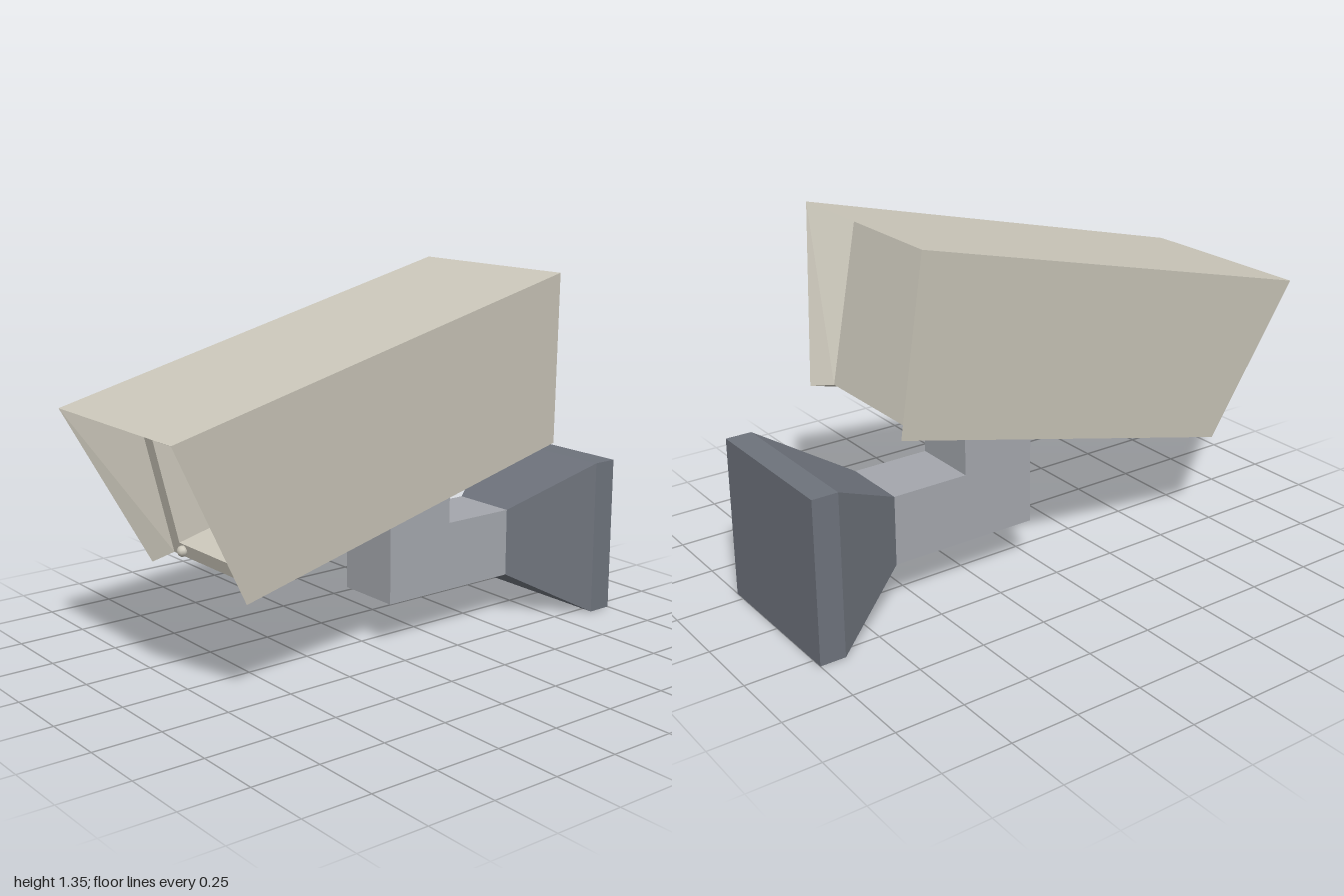
import * as THREE from 'three';

const mat = (name, color, side = THREE.FrontSide) => {
  const m = new THREE.MeshStandardMaterial({ color, side });
  m.name = name;
  return m;
};

// Skin closed cross-sections (counter-clockwise from +z, ordered back to front) with flat faces
function loft(sections, capBack, capFront) {
  const pos = [];
  const tri = (a, b, c) => pos.push(...a, ...b, ...c);
  for (let s = 0; s < sections.length - 1; s++) {
    const a = sections[s], b = sections[s + 1], n = a.length;
    for (let i = 0; i < n; i++) {
      const j = (i + 1) % n;
      tri(a[i], a[j], b[j]);
      tri(a[i], b[j], b[i]);
    }
  }
  const first = sections[0], last = sections[sections.length - 1];
  for (let i = 1; i < first.length - 1; i++) {
    if (capBack) tri(first[0], first[i + 1], first[i]);
    if (capFront) tri(last[0], last[i], last[i + 1]);
  }
  const g = new THREE.BufferGeometry();
  g.setAttribute('position', new THREE.Float32BufferAttribute(pos, 3));
  g.computeVertexNormals();
  return g;
}

const rect = (w, y0, y1, z) => [[w, y0, z], [w, y1, z], [-w, y1, z], [-w, y0, z]];

// Hood section: inner bottom, outer bottom and top corners, mirrored in x
function hoodSection(inner, bottom, top) {
  const right = [inner, bottom, top];
  return [...right, ...right.slice().reverse().map(([x, y, z]) => [-x, y, z])];
}

export function createModel() {
  const shell = mat('warm grey shell', 0xcbc7ba, THREE.DoubleSide);
  const armGrey = mat('light grey arm', 0xa3a6ac);
  const slate = mat('slate mount', 0x6d727b);
  const dark = mat('dark housing', 0x4a4f57);
  const glass = mat('black glass', 0x383d40);

  const model = new THREE.Group();
  const add = (parent, name, geometry, material, x = 0, y = 0, z = 0) => {
    const m = new THREE.Mesh(geometry, material);
    m.name = name;
    m.position.set(x, y, z);
    parent.add(m);
    return m;
  };

  // Wall mount: square plate tapering to the arm
  add(model, 'wallMount', loft([
    rect(0.295, 0, 0.595, -1),
    rect(0.295, 0, 0.595, -0.905),
    rect(0.128, 0.17, 0.427, -0.6),
  ], true, true), slate);

  // L-shaped arm, drawn in side profile (-z, y) and extruded across x
  const profile = new THREE.Shape([
    [0.03, 0.17], [0.6, 0.17], [0.6, 0.427], [0.31, 0.427], [0.31, 0.635], [0.03, 0.565],
  ].map(([x, y]) => new THREE.Vector2(x, y)));
  const arm = new THREE.ExtrudeGeometry(profile, { depth: 0.256, bevelEnabled: false });
  arm.translate(0, 0, -0.128).rotateY(Math.PI / 2);
  add(model, 'arm', arm, armGrey);

  // Camera head, tilted down; local z runs along its axis
  const head = new THREE.Group();
  head.name = 'cameraHead';
  head.position.y = 1.193;
  head.rotation.x = 0.2428;
  model.add(head);

  // Hood: recessed back, outer skin, then rim sloping in to the face frame
  const backInner = [0.245, -0.61, -0.47], frontInner = [0.245, -0.61, 0.81];
  add(head, 'hood', loft([
    hoodSection(backInner, backInner, [0.3, -0.03, -0.47]),
    hoodSection(backInner, [0.295, -0.631, -0.533], [0.358, 0, -0.633]),
    hoodSection(frontInner, [0.295, -0.631, 0.877], [0.358, 0, 1.03]),
    hoodSection(frontInner, frontInner, [0.245, -0.12, 0.81]),
  ], true, false), shell);

  // Face frame with a deep window
  const corners = (w, y0, y1) => rect(w, y0, y1, 0).map(([x, y]) => new THREE.Vector2(x, y));
  const frame = new THREE.Shape(corners(0.245, -0.61, -0.12));
  frame.holes.push(new THREE.Path(corners(0.19, -0.56, -0.173)));
  add(head, 'faceFrame', new THREE.ExtrudeGeometry(frame, { depth: 0.16, bevelEnabled: false }),
    shell, 0, 0, 0.65);

  // Lens housing, glass pane and octagonal lens
  add(head, 'lensHousing', loft([
    rect(0.19, -0.56, -0.173, 0.65),
    rect(0.19, -0.56, -0.173, 0.665),
    rect(0.15, -0.525, -0.225, 0.695),
  ], true, true), dark);
  add(head, 'glassPane', new THREE.BoxGeometry(0.298, 0.298, 0.008), glass, 0, -0.375, 0.695);
  const lens = new THREE.CylinderGeometry(0.1, 0.115, 0.02, 8);
  lens.rotateX(Math.PI / 2);
  add(head, 'lens', lens.toNonIndexed(), glass, 0, -0.378, 0.705);

  // Sensor bead on the frame
  add(head, 'sensorBead', new THREE.SphereGeometry(0.02, 8, 6), shell, -0.165, -0.582, 0.82);

  return model;
}
